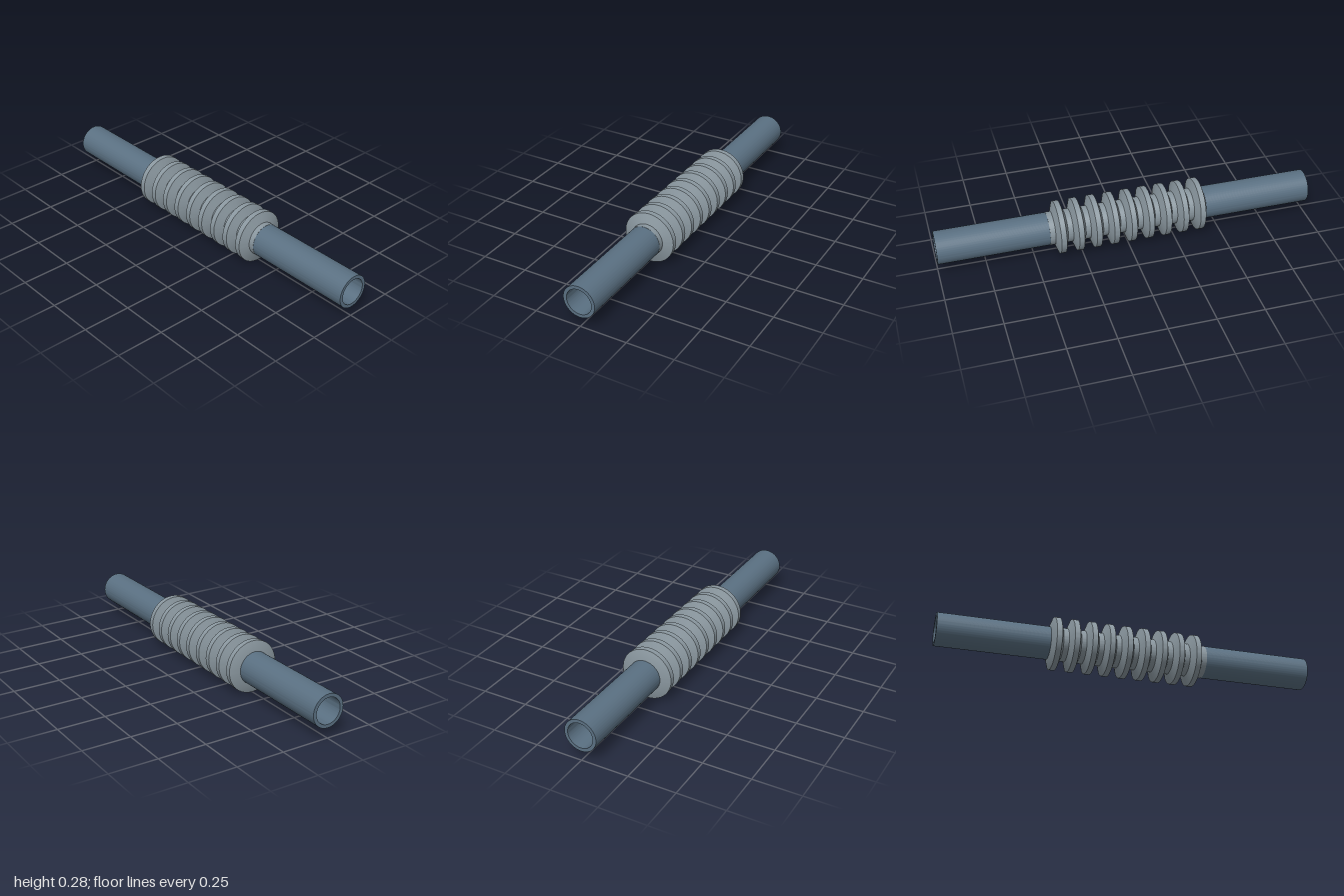
import * as THREE from 'three';
import { toCreasedNormals } from 'three/addons/utils/BufferGeometryUtils.js';

const AXIS_Y = 0.138;   // height of the centre line
const PIPE_R = 0.086;
const BORE_R = 0.068;
const RIB_R = 0.138;
const RIBS = 9;
const BELLOWS_HALF = 0.42;

// Revolve [radius, position along x] pairs around the x axis, keeping edges sharp
function revolve(name, profile, color) {
  const points = profile.map(([r, x]) => new THREE.Vector2(r, x));
  const geometry = toCreasedNormals(new THREE.LatheGeometry(points, 96), 0.5);
  geometry.rotateZ(-Math.PI / 2);
  const mesh = new THREE.Mesh(geometry, new THREE.MeshStandardMaterial({ color }));
  mesh.name = name;
  mesh.position.y = AXIS_Y;
  return mesh;
}

export function createModel() {
  const model = new THREE.Group();
  model.name = 'bellowsPipe';

  // Hollow pipe running the full length
  model.add(revolve('pipe', [
    [BORE_R, -1], [PIPE_R, -1], [PIPE_R, 1], [BORE_R, 1], [BORE_R, -1],
  ], 0x5a7082));

  // Corrugated sleeve: each rib rises, runs flat, falls, then a short valley follows
  const valleyR = PIPE_R + 0.001;
  const pitch = (2 * BELLOWS_HALF) / RIBS;
  const profile = [[BORE_R + 0.01, -BELLOWS_HALF]];
  for (let i = 0; i < RIBS; i++) {
    const x = -BELLOWS_HALF + i * pitch;
    profile.push(
      [valleyR, x],
      [RIB_R, x + 0.2 * pitch],
      [RIB_R, x + 0.5 * pitch],
      [valleyR, x + 0.7 * pitch],
    );
  }
  profile.push([valleyR, BELLOWS_HALF], [BORE_R + 0.01, BELLOWS_HALF]);
  model.add(revolve('bellows', profile, 0x8a979f));

  return model;
}
